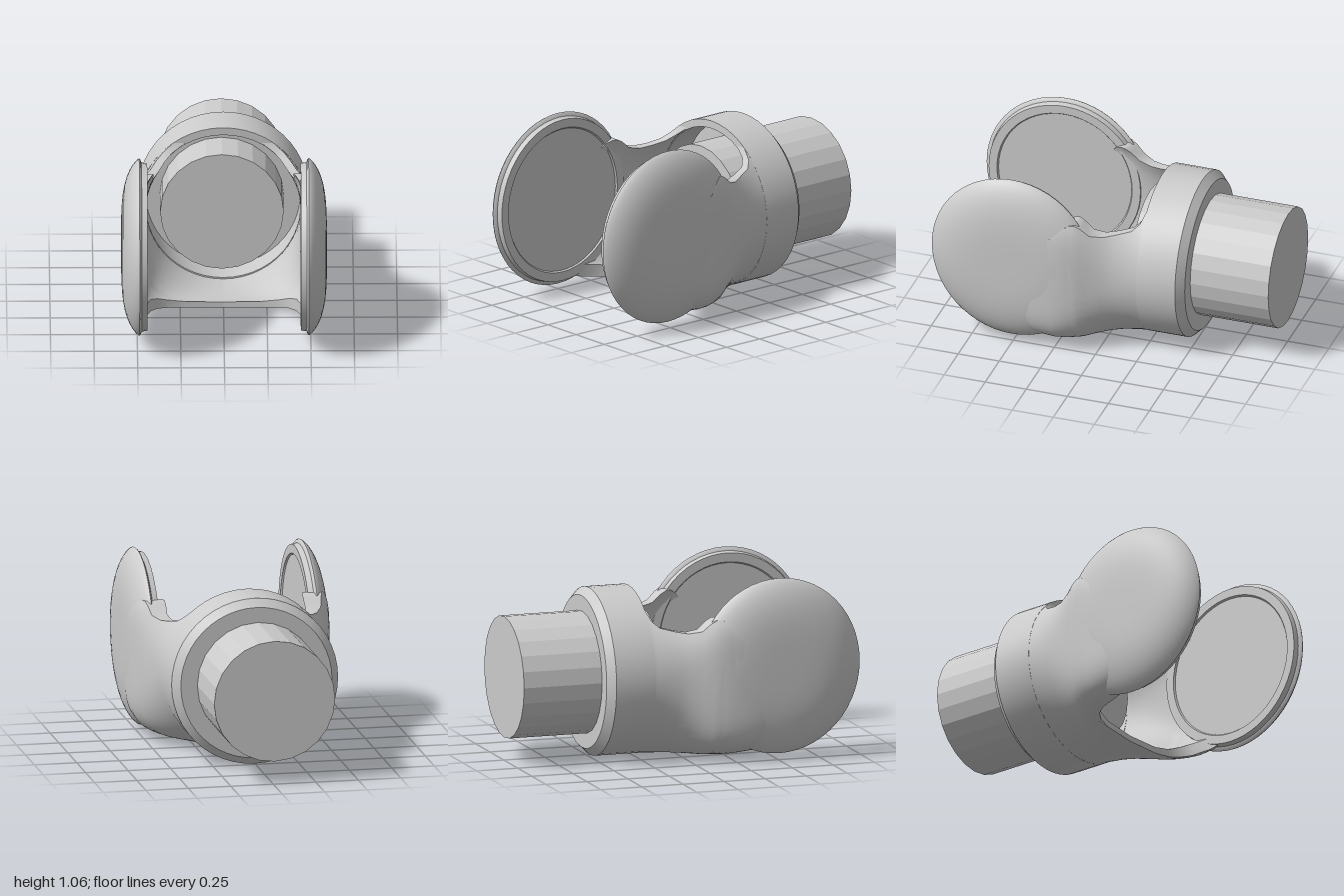
import * as THREE from 'three';
import { toCreasedNormals } from 'three/addons/utils/BufferGeometryUtils.js';

const MID_Y = 0.495;

// Neck stations: z, outer half width, inner half width, half height,
// squareness, web cut (x where the section starts), top cut (y where it ends)
const STATIONS = [
  [-0.26, 0.488, 0.445, 0.488, 2.0, 0, 0.90],
  [-0.24, 0.489, 0.446, 0.489, 2.0, 0, 0.89],
  [-0.22, 0.490, 0.446, 0.489, 2.0, 0, 0.835],
  [-0.18, 0.492, 0.447, 0.489, 2.05, 0, 0.80],
  [-0.10, 0.498, 0.45, 0.489, 2.2, 0, 0.78],
  [-0.03, 0.512, 0.45, 0.488, 2.5, 0, 0.77],
  [0.04, 0.538, 0.45, 0.486, 3.0, 0, 0.785],
  [0.09, 0.556, 0.455, 0.483, 3.6, 0, 0.83],
  [0.125, 0.567, 0.46, 0.480, 4.0, 0, 0.85],
  [0.135, 0.569, 0.46, 0.478, 4.1, 0.22, 0.85],
  [0.155, 0.573, 0.465, 0.477, 4.3, 0.32, 0.85],
  [0.19, 0.580, 0.47, 0.474, 4.6, 0.38, 0.83],
  [0.25, 0.586, 0.48, 0.469, 5.0, 0.42, 0.77],
  [0.36, 0.588, 0.50, 0.458, 5.0, 0.445, 0.72],
  [0.46, 0.580, 0.50, 0.435, 5.0, 0.46, 0.68],
];

// Points along a superellipse from the web cut at the bottom to the top cut
function arc(a, b, n, startX, topY, count) {
  const from = -Math.acos(Math.min(1, Math.pow(startX / a, n / 2)));
  const v = Math.min(1, (topY - MID_Y) / b);
  const to = Math.asin(Math.pow(v, n / 2));
  return Array.from({ length: count }, (_, k) => {
    const t = from + (to - from) * k / (count - 1);
    const s = Math.sin(t);
    return [
      a * Math.pow(Math.max(0, Math.cos(t)), 2 / n),
      MID_Y + b * Math.sign(s) * Math.pow(Math.abs(s), 2 / n),
    ];
  });
}

// Half of the U-shaped neck, lofted through the stations
function neckHalf(side) {
  const M = 22, N = 2 * M, pos = [], idx = [];
  const tri = (a, b, c) => (side > 0 ? idx.push(a, b, c) : idx.push(a, c, b));
  for (const [z, a, aIn, b, n, start, top] of STATIONS) {
    const outer = arc(a, b, n, start, top, M);
    const inner = arc(aIn, b - 0.035, n, start, top, M).reverse();
    for (const [x, y] of [...outer, ...inner]) pos.push(side * x, y, z);
  }
  for (let i = 0; i < STATIONS.length - 1; i++) {
    for (let j = 0; j < N; j++) {
      const k = (j + 1) % N, p = i * N, q = p + N;
      tri(p + j, p + k, q + k);
      tri(p + j, q + k, q + j);
    }
  }
  // end cap inside the arm
  const e = (STATIONS.length - 1) * N;
  for (let k = 0; k < M - 1; k++) {
    tri(e + k, e + k + 1, e + N - 2 - k);
    tri(e + k, e + N - 2 - k, e + N - 1 - k);
  }
  const g = new THREE.BufferGeometry();
  g.setAttribute('position', new THREE.Float32BufferAttribute(pos, 3));
  g.setIndex(idx);
  return toCreasedNormals(g, 0.7);
}

function lathe(points, segments) {
  return new THREE.LatheGeometry(points.map(([r, h]) => new THREE.Vector2(r, h)), segments);
}

// Domed round pad with a stepped inner rim
function padGeometry(side) {
  const profile = [[0, 0.452], [0.405, 0.452], [0.412, 0.442], [0.462, 0.442], [0.468, 0.475], [0.485, 0.482]];
  for (let i = 0; i <= 12; i++) {
    const d = Math.cos(i / 12 * Math.PI / 2);
    profile.push([i === 12 ? 0 : 0.49 * d, 0.488 + 0.105 * Math.pow(1 - d ** 4, 0.75)]);
  }
  const g = lathe(profile, 56);
  g.rotateZ(-side * Math.PI / 2);
  g.scale(1, 1.05, 1);
  return toCreasedNormals(g, 0.6);
}

export function createModel() {
  const model = new THREE.Group();
  model.name = 'yokeOnShaft';
  const material = new THREE.MeshStandardMaterial({ color: 0xcccccc });
  const add = (name, geometry, x = 0, y = 0, z = 0) => {
    const mesh = new THREE.Mesh(geometry, material);
    mesh.name = name;
    mesh.position.set(x, y, z);
    model.add(mesh);
  };

  // Faceted shaft
  const shaft = new THREE.CylinderGeometry(0.356, 0.356, 0.84, 24);
  shaft.rotateX(Math.PI / 2);
  add('shaft', toCreasedNormals(shaft, 0.2), -0.008, MID_Y, -0.58);

  // Hollow collar with a chamfered back edge
  const collar = lathe([
    [0, -0.525], [0.445, -0.525], [0.49, -0.48], [0.49, -0.24],
    [0.445, -0.24], [0.445, -0.42], [0, -0.42],
  ], 48);
  collar.rotateX(Math.PI / 2);
  add('collar', toCreasedNormals(collar, 0.5), 0, MID_Y, 0);

  // Neck halves and arm pads
  for (const [side, word] of [[1, 'left'], [-1, 'right']]) {
    add(word + 'Neck', neckHalf(side));
    add(word + 'ArmPad', padGeometry(side), 0, 0.555, 0.51);
  }
  return model;
}
